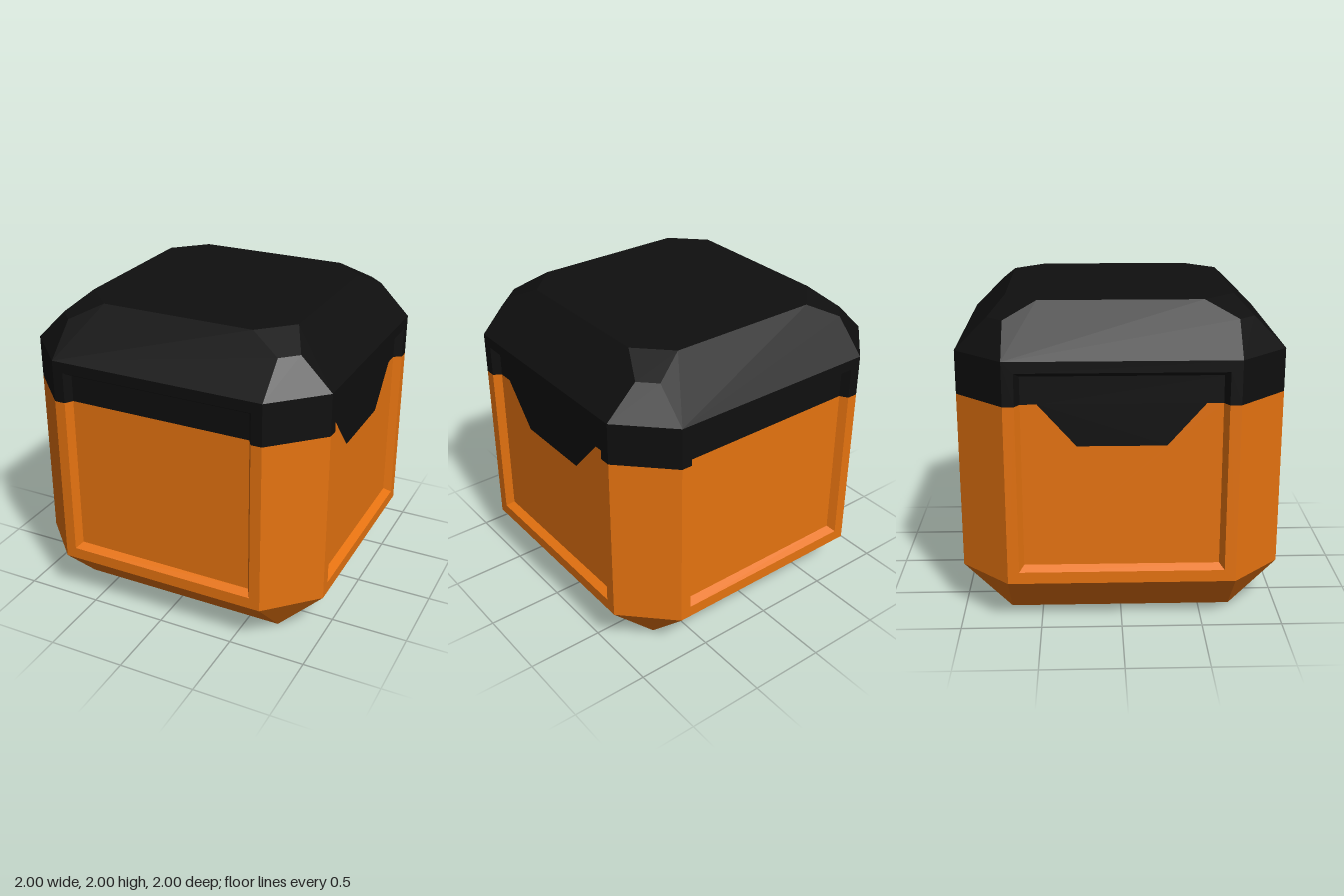
import * as THREE from 'three';
import { mergeGeometries } from 'three/addons/utils/BufferGeometryUtils.js';

const SEAM = 1.43; // height where the dark cap meets the body

// Flat convex polygon, corners counter-clockwise seen from outside
function poly(...pts) {
  const v = [];
  for (let i = 1; i < pts.length - 1; i++) v.push(...pts[0], ...pts[i], ...pts[i + 1]);
  const g = new THREE.BufferGeometry();
  g.setAttribute('position', new THREE.Float32BufferAttribute(v, 3));
  g.computeVertexNormals();
  return g;
}

// Flat outline in the xy plane, placed at depth z
function plate(points, z) {
  const shape = new THREE.Shape(points.map(([x, y]) => new THREE.Vector2(x, y)));
  const g = new THREE.ShapeGeometry(shape).toNonIndexed();
  g.deleteAttribute('uv');
  return g.translate(0, 0, z);
}

// Sloped walls down both sides of the recess between two pairs of heights
function recessSides(outerLow, innerLow, outerHigh, innerHigh) {
  return [
    poly([-0.63, outerLow, 1], [-0.6, innerLow, 0.95], [-0.6, innerHigh, 0.95], [-0.63, outerHigh, 1]),
    poly([0.6, innerLow, 0.95], [0.63, outerLow, 1], [0.63, outerHigh, 1], [0.6, innerHigh, 0.95]),
  ];
}

// Vertical corner facet
const cornerFacet = (b, t) => poly([0.7, b, 1], [1, b, 0.7], [1, t, 0.7], [0.7, t, 1]);

export function createModel() {
  const model = new THREE.Group();
  model.name = 'chamferedCube';
  const orange = new THREE.MeshStandardMaterial({ color: 0xe67310 });
  const black = new THREE.MeshStandardMaterial({ color: 0x0f0f0f });
  orange.name = 'orange';
  black.name = 'black';
  orange.flatShading = black.flatShading = true;

  const add = (parent, name, material, ...geos) => {
    const mesh = new THREE.Mesh(geos.length > 1 ? mergeGeometries(geos) : geos[0], material);
    mesh.name = name;
    parent.add(mesh);
  };

  ['front', 'left', 'back', 'right'].forEach((name, i) => {
    const side = new THREE.Group();
    side.name = name + 'Side';
    side.rotation.y = (i * Math.PI) / 2;
    model.add(side);

    // Raised frame around the recess
    add(side, 'bodyFrame', orange, plate([[-0.7, 0.3], [0.7, 0.3], [0.7, SEAM], [0.63, SEAM],
      [0.63, 0.375], [-0.63, 0.375], [-0.63, SEAM], [-0.7, SEAM]], 1));
    add(side, 'capFrame', black, plate([[-0.7, SEAM], [-0.63, SEAM], [-0.63, 1.63], [0.63, 1.63],
      [0.63, SEAM], [0.7, SEAM], [0.7, 1.7], [-0.7, 1.7]], 1));

    // Sloped recess walls
    add(side, 'bodyRecessWalls', orange, ...recessSides(0.375, 0.405, SEAM, SEAM),
      poly([-0.63, 0.375, 1], [0.63, 0.375, 1], [0.6, 0.405, 0.95], [-0.6, 0.405, 0.95]));
    add(side, 'capRecessWalls', black, ...recessSides(SEAM, SEAM, 1.63, 1.6),
      poly([-0.6, 1.6, 0.95], [0.6, 1.6, 0.95], [0.63, 1.63, 1], [-0.63, 1.63, 1]));

    // Recessed panel; the cap dips down on the left and right sides
    const dip = i % 2 ? [[-0.5, SEAM], [-0.27, 1.17], [0.27, 1.17], [0.5, SEAM]] : [];
    const seam = [[-0.6, SEAM], ...dip, [0.6, SEAM]];
    add(side, 'capPanel', black, plate([...seam, [0.6, 1.6], [-0.6, 1.6]], 0.95));
    add(side, 'bodyPanel', orange, plate([[-0.6, 0.405], [0.6, 0.405], ...seam.slice().reverse()], 0.95));

    // Corner facets and bottom chamfer
    add(side, 'bodyCorner', orange, cornerFacet(0.3, SEAM),
      poly([0.7, 0, 0.7], [1, 0.3, 0.7], [0.7, 0.3, 1]));
    add(side, 'capCorner', black, cornerFacet(SEAM, 1.7),
      poly([0.7, 1.7, 1], [1, 1.7, 0.7], [0.8, 1.9, 0.7], [0.7, 1.9, 0.8]),
      poly([0.7, 1.9, 0.8], [0.8, 1.9, 0.7], [0.7, 2, 0.5], [0.5, 2, 0.7]));
    add(side, 'bottomChamfer', orange,
      poly([-0.7, 0, 0.7], [0.7, 0, 0.7], [0.7, 0.3, 1], [-0.7, 0.3, 1]));
    add(side, 'capSlope', black, poly([-0.7, 1.7, 1], [0.7, 1.7, 1], [0.7, 1.9, 0.8],
      [0.5, 2, 0.7], [-0.5, 2, 0.7], [-0.7, 1.9, 0.8]));
  });

  // Top and bottom faces
  add(model, 'capTop', black, poly([-0.5, 2, 0.7], [0.5, 2, 0.7], [0.7, 2, 0.5], [0.7, 2, -0.5],
    [0.5, 2, -0.7], [-0.5, 2, -0.7], [-0.7, 2, -0.5], [-0.7, 2, 0.5]));
  add(model, 'base', orange, poly([-0.7, 0, -0.7], [0.7, 0, -0.7], [0.7, 0, 0.7], [-0.7, 0, 0.7]));
  return model;
}
